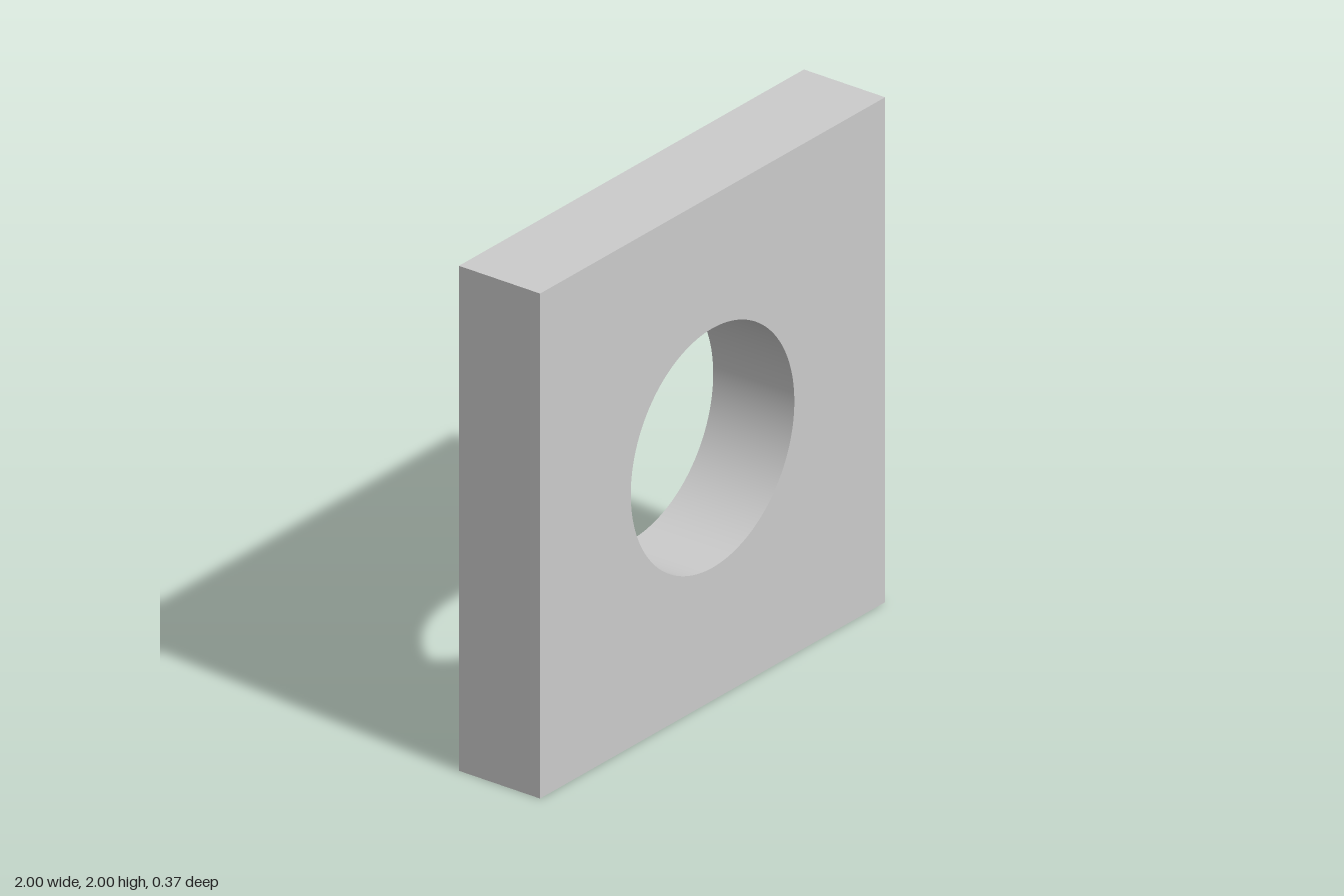
import * as THREE from 'three';
import { toCreasedNormals } from 'three/addons/utils/BufferGeometryUtils.js';

const SIZE = 2;
const THICKNESS = 0.365;
const HOLE_RADIUS = 0.474;

export function createModel() {
  const group = new THREE.Group();
  group.name = 'squareWasher';

  // Square outline standing on the ground
  const h = SIZE / 2;
  const outline = new THREE.Shape([
    new THREE.Vector2(-h, 0),
    new THREE.Vector2(h, 0),
    new THREE.Vector2(h, SIZE),
    new THREE.Vector2(-h, SIZE),
  ]);

  // Round through hole in the middle
  const hole = new THREE.Path();
  hole.absarc(0, h, HOLE_RADIUS, 0, Math.PI * 2, true);
  outline.holes.push(hole);

  // Extruded plate, centred on z, with a smooth bore and sharp edges
  const extruded = new THREE.ExtrudeGeometry(outline, {
    depth: THICKNESS,
    bevelEnabled: false,
    curveSegments: 96,
  });
  extruded.translate(0, 0, -THICKNESS / 2);

  const plate = new THREE.Mesh(
    toCreasedNormals(extruded, Math.PI / 6),
    new THREE.MeshStandardMaterial({ color: 0xcccccc }),
  );
  plate.name = 'plate';
  group.add(plate);

  return group;
}
